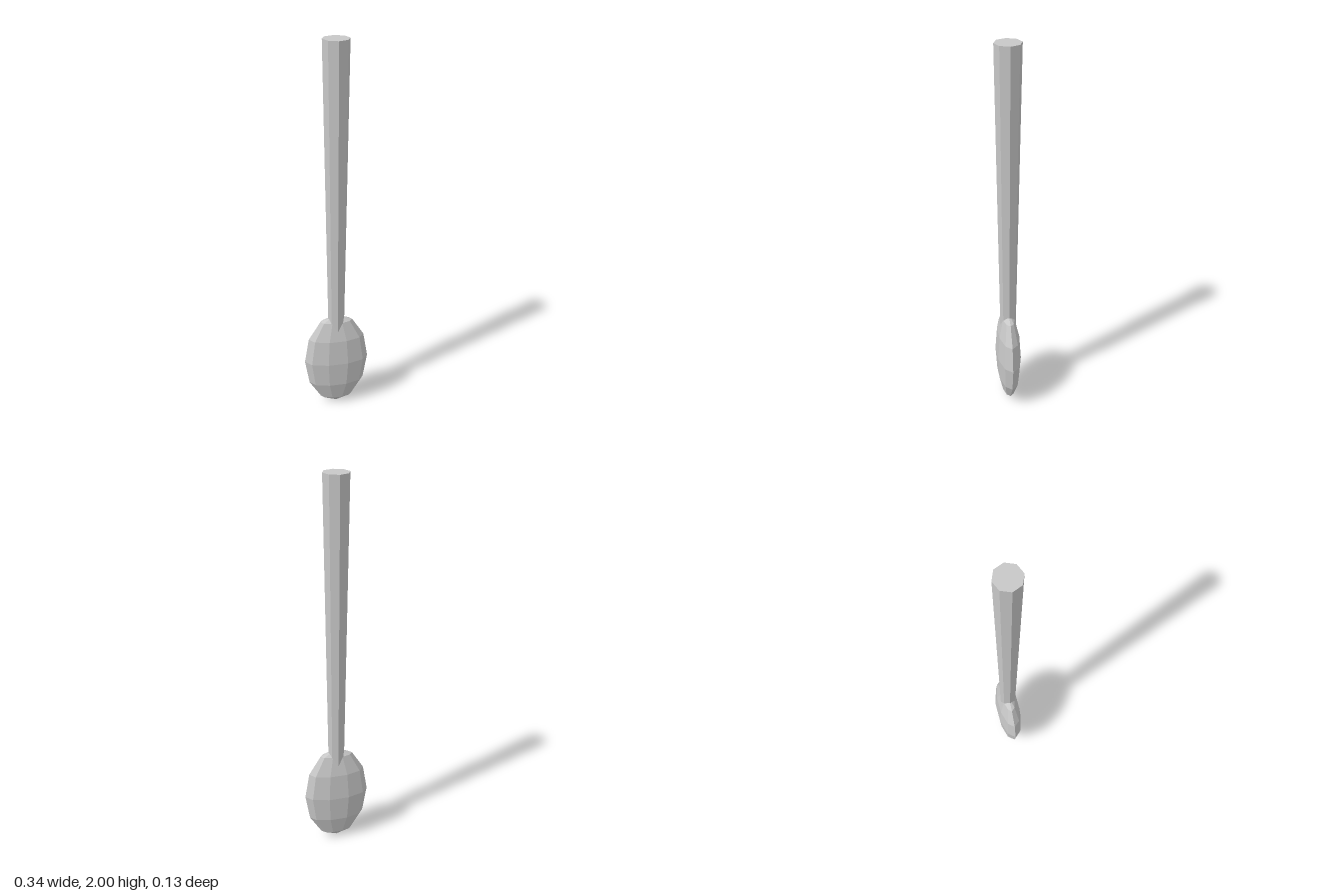
import * as THREE from 'three';

export function createModel() {
  const group = new THREE.Group();
  const metal = new THREE.MeshStandardMaterial({ color: 0xc8c8c8, flatShading: true });
  metal.name = 'light grey metal';

  // Tapered eight-sided handle, sunk into the bowl
  const bottom = 0.4, top = 2;
  const handle = new THREE.Mesh(
    new THREE.CylinderGeometry(0.065, 0.041, top - bottom, 8), metal);
  handle.position.y = (top + bottom) / 2;
  handle.name = 'handle';
  group.add(handle);

  // Flattened faceted bowl
  const bowlShape = new THREE.SphereGeometry(1, 10, 6);
  bowlShape.scale(0.172, 0.28, 0.065);
  const bowl = new THREE.Mesh(bowlShape, metal);
  bowl.position.y = 0.28;
  bowl.name = 'bowl';
  group.add(bowl);

  return group;
}
